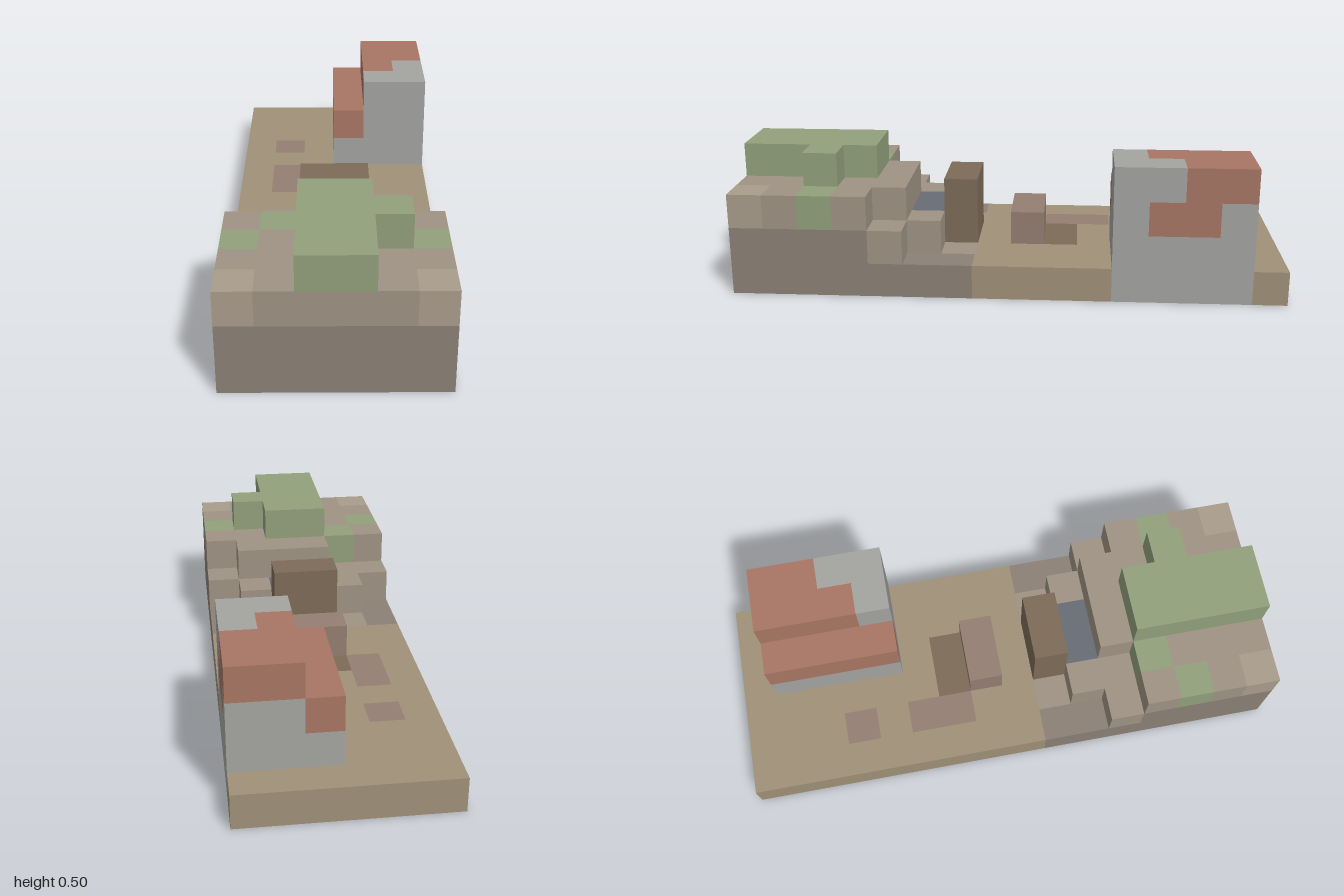
import * as THREE from 'three';

const U = 0.125, NX = 6, NY = 4, NZ = 16;

const COLORS = {
  sandFloor: 0xa09078, earthBase: 0x8b8076, rockLedge: 0x9f9384, paleRock: 0xa99c8b,
  grass: 0x92a07c, woodBlock: 0x7d6b58, clayBlock: 0x947e71, water: 0x686c76,
  towerStone: 0xa4a4a1, towerBrick: 0xa87664,
};

const cellKey = (x, y, z) => `${x},${y},${z}`;

// Fills the cell grid; x counts from the model's right, z from the back, later fills overwrite
function buildCells() {
  const cells = new Map();
  const fill = (part, x, y, z, w = 1, h = 1, d = 1) => {
    for (let i = x; i < x + w; i++)
      for (let j = y; j < y + h; j++)
        for (let k = z; k < z + d; k++) cells.set(cellKey(i, j, k), part);
  };
  const fillBothSides = (part, x, y, z) => {
    fill(part, x, y, z);
    fill(part, NX - 1 - x, y, z);
  };

  // floor and plateau
  fill('sandFloor', 0, 0, 0, NX, 1, 9);
  fill('earthBase', 0, 0, 9, NX, 1, 7);
  fill('earthBase', 0, 1, 12, NX, 1, 4);
  fill('rockLedge', 0, 2, 12, NX, 1, 4);
  fillBothSides('paleRock', 0, 2, 15);

  // stepped ledges with a pool
  fillBothSides('rockLedge', 1, 0, 9);
  fillBothSides('rockLedge', 1, 1, 10);
  fill('water', 2, 1, 10, 2);
  fill('rockLedge', 0, 1, 11, NX);
  fill('rockLedge', 2, 2, 11, 3);

  // grass mound and patches
  fill('grass', 2, 3, 12, 2, 1, 4);
  fill('grass', 4, 3, 13);
  fillBothSides('grass', 0, 2, 13);
  fill('grass', 1, 2, 12);

  // blocks and patches on the floor
  fill('woodBlock', 2, 0, 9, 2, 3);
  fill('woodBlock', 2, 0, 6, 2);
  fill('clayBlock', 2, 1, 7, 2);
  fill('clayBlock', 1, 0, 3);
  fill('clayBlock', 1, 0, 5, 1, 1, 2);

  // tower with brick upper parts
  fill('towerStone', 3, 0, 1, 3, 3, 4);
  fill('towerStone', 4, 3, 1, 2, 1, 4);
  fill('towerBrick', 3, 2, 1, 1, 1, 4);
  fill('towerBrick', 5, 2, 2, 1, 1, 2);
  fill('towerBrick', 4, 3, 1, 2, 1, 2);
  fill('towerBrick', 4, 3, 3);
  return cells;
}

// Outward directions: left, right, up, front, back; undersides stay open
const NORMALS = [[1, 0, 0], [-1, 0, 0], [0, 1, 0], [0, 0, 1], [0, 0, -1]]
  .map((n) => new THREE.Vector3(...n));

export function createModel() {
  const cells = buildCells();
  const surfaces = {};

  // collect the exposed faces of every part
  for (const [key, part] of cells) {
    const cell = new THREE.Vector3(...key.split(',').map(Number));
    const s = (surfaces[part] ??= { pos: [], nor: [], idx: [] });
    for (const n of NORMALS) {
      const next = cell.clone().add(n);
      if (cells.has(cellKey(next.x, next.y, next.z))) continue;
      // edge directions a and b, with a x b = n
      const a = new THREE.Vector3(Math.abs(n.y), Math.abs(n.z), Math.abs(n.x));
      const b = n.clone().cross(a);
      const centre = cell.clone().addScalar(0.5).addScaledVector(n, 0.5);
      const start = s.pos.length / 3;
      for (const [p, q] of [[-0.5, -0.5], [0.5, -0.5], [0.5, 0.5], [-0.5, 0.5]]) {
        const c = centre.clone().addScaledVector(a, p).addScaledVector(b, q);
        s.pos.push((c.x - NX / 2) * U, c.y * U, (c.z - NZ / 2) * U);
        s.nor.push(n.x, n.y, n.z);
      }
      s.idx.push(start, start + 1, start + 2, start, start + 2, start + 3);
    }
  }

  const model = new THREE.Group();
  model.name = 'blockLandscape';
  for (const [part, { pos, nor, idx }] of Object.entries(surfaces)) {
    const geo = new THREE.BufferGeometry();
    geo.setAttribute('position', new THREE.Float32BufferAttribute(pos, 3));
    geo.setAttribute('normal', new THREE.Float32BufferAttribute(nor, 3));
    geo.setIndex(idx);
    const mat = new THREE.MeshStandardMaterial({ color: COLORS[part], side: THREE.DoubleSide });
    const mesh = new THREE.Mesh(geo, mat);
    mesh.name = part;
    model.add(mesh);
  }
  return model;
}
